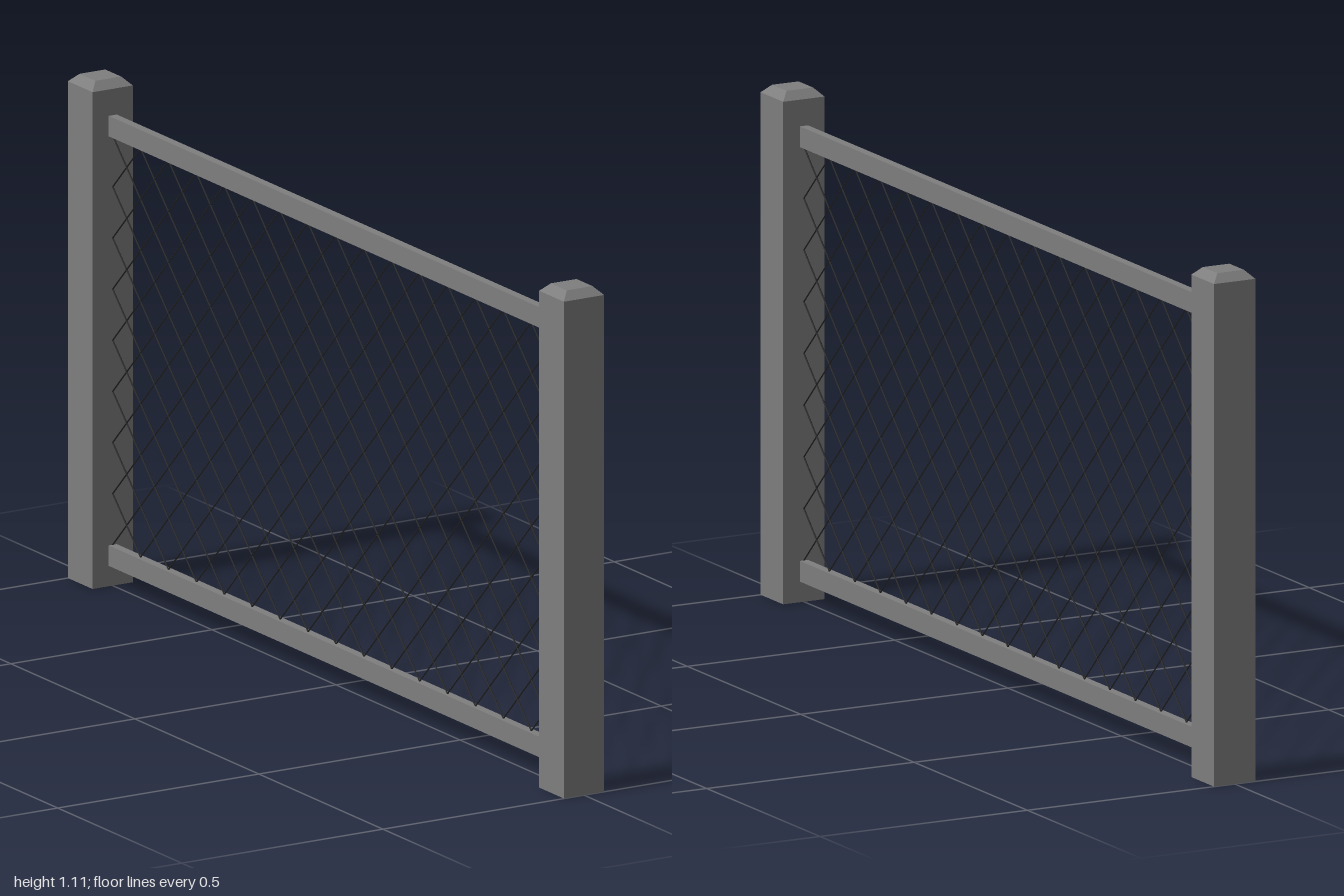
import * as THREE from 'three';
import { mergeGeometries } from 'three/addons/utils/BufferGeometryUtils.js';

const HALF_SPAN = 0.9;             // inner faces of the posts
const MESH_LOW = 0.09, MESH_HIGH = 0.99;
const PITCH = 0.1125;              // spacing of the wire lattice
const WIRE_RADIUS = 0.002;

const frameMaterial = new THREE.MeshStandardMaterial({ color: 0x7e7e7e, flatShading: true, side: THREE.DoubleSide });
const wireMaterial = new THREE.MeshStandardMaterial({ color: 0x2a2a2a, flatShading: true });

// Hollow square post with a bevelled cap, open at the bottom
function createPostGeometry() {
  const profile = [[0.05, 0], [0.05, 1.093], [0.032, 1.111], [0, 1.111]]
    .map(([half, y]) => new THREE.Vector2(half * Math.SQRT2, y));
  const geometry = new THREE.LatheGeometry(profile, 4, Math.PI / 4).toNonIndexed();
  geometry.computeVertexNormals();
  return geometry;
}

// Straight wire between two points of the x = 0 plane
function wire(z0, y0, z1, y1) {
  const geometry = new THREE.CylinderGeometry(WIRE_RADIUS, WIRE_RADIUS, Math.hypot(z1 - z0, y1 - y0), 4);
  geometry.rotateX(Math.atan2(z1 - z0, y1 - y0));
  geometry.translate(0, (y0 + y1) / 2, (z0 + z1) / 2);
  return geometry;
}

// All parallel diagonals, clipped to the frame opening
function createDiagonals() {
  const width = 2 * HALF_SPAN, height = MESH_HIGH - MESH_LOW;
  const count = Math.round((width + height) / PITCH);
  const wires = [];
  for (let k = 1; k < count; k++) {
    const sum = k * PITCH;
    const a = Math.max(0, sum - height), b = Math.min(width, sum);
    wires.push(wire(a - HALF_SPAN, MESH_LOW + sum - a, b - HALF_SPAN, MESH_LOW + sum - b));
  }
  return mergeGeometries(wires);
}

export function createModel() {
  const fence = new THREE.Group();
  fence.name = 'fencePanel';

  // Posts at both ends
  const postGeometry = createPostGeometry();
  for (const [name, z] of [['frontPost', 0.95], ['backPost', -0.95]]) {
    const post = new THREE.Mesh(postGeometry, frameMaterial);
    post.name = name;
    post.position.z = z;
    fence.add(post);
  }

  // Rails above and below the wire mesh
  for (const [name, y] of [['topRail', MESH_HIGH + 0.0225], ['bottomRail', MESH_LOW - 0.0225]]) {
    const rail = new THREE.Mesh(new THREE.BoxGeometry(0.02, 0.045, 2 * HALF_SPAN), frameMaterial);
    rail.name = name;
    rail.position.y = y;
    fence.add(rail);
  }

  // Diamond mesh: one set of diagonals and its mirror
  const diagonals = createDiagonals();
  for (const [name, turn] of [['risingWires', 0], ['fallingWires', Math.PI]]) {
    const wires = new THREE.Mesh(diagonals, wireMaterial);
    wires.name = name;
    wires.rotation.y = turn;
    fence.add(wires);
  }
  return fence;
}
